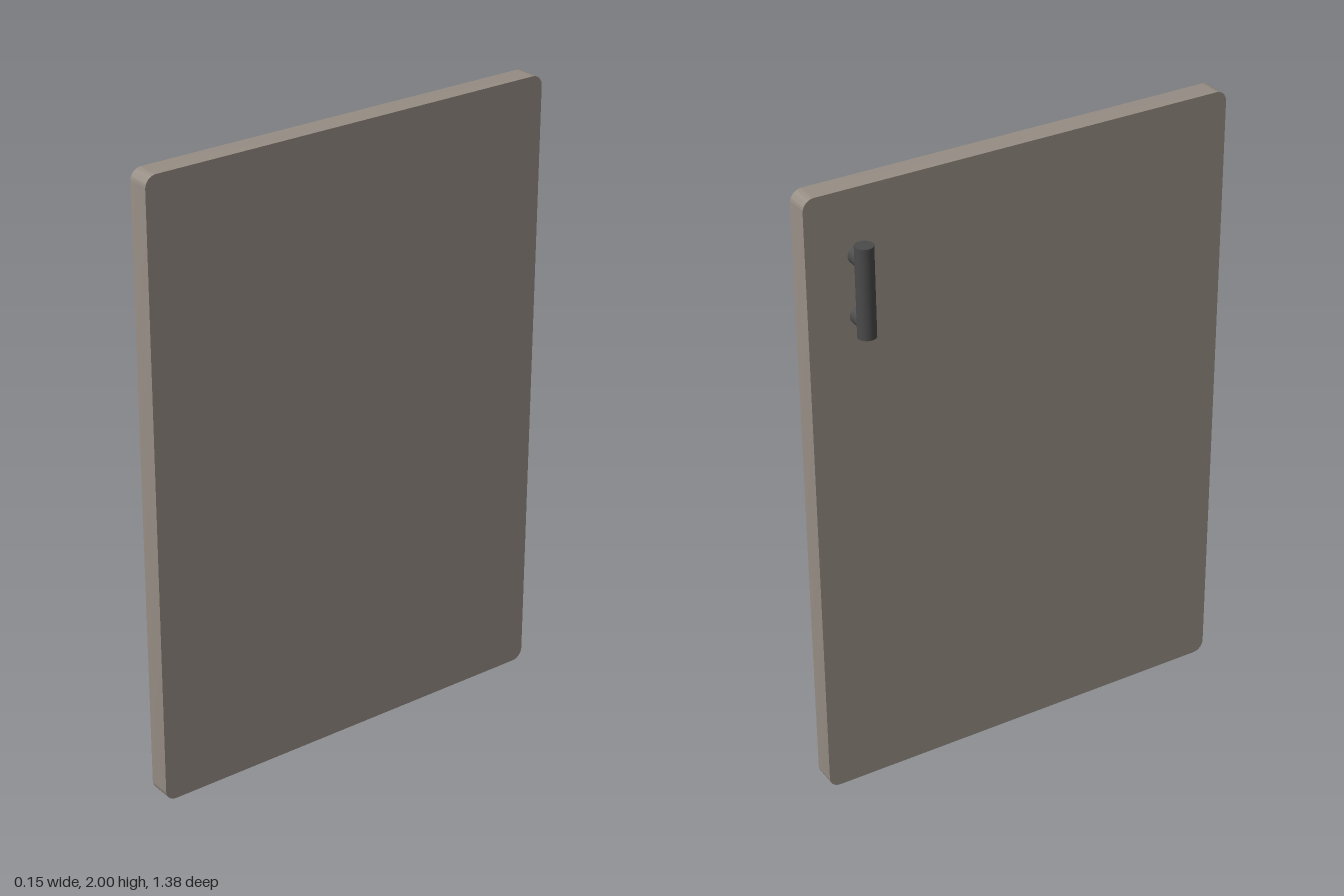
import * as THREE from 'three';
import { toCreasedNormals } from 'three/addons/utils/BufferGeometryUtils.js';

const THICK = 0.0735, HALF_W = 0.692, HEIGHT = 2, CORNER = 0.036;
const ROD = 0.028, BAR_X = -THICK + ROD, HANDLE_Y = 1.703, HANDLE_Z = -0.534;

export function createModel() {
  const group = new THREE.Group();
  const panelMat = new THREE.MeshStandardMaterial({ color: 0x968d84 });
  const metalMat = new THREE.MeshStandardMaterial({ color: 0x4a4a4a });

  // Door panel: rounded rectangle extruded along its thickness
  const w = HALF_W, h = HEIGHT, r = CORNER;
  const outline = new THREE.Shape();
  outline.absarc(w - r, r, r, -Math.PI / 2, 0);
  outline.absarc(w - r, h - r, r, 0, Math.PI / 2);
  outline.absarc(-w + r, h - r, r, Math.PI / 2, Math.PI);
  outline.absarc(-w + r, r, r, Math.PI, Math.PI * 1.5);
  outline.closePath();
  const slab = new THREE.ExtrudeGeometry(outline, { depth: THICK, bevelEnabled: false, curveSegments: 8 });
  const panel = new THREE.Mesh(toCreasedNormals(slab, 0.5), panelMat);
  panel.name = 'doorPanel';
  panel.rotation.y = Math.PI / 2;
  group.add(panel);

  // Bar handle on two round posts
  const handle = new THREE.Group();
  handle.name = 'handle';
  handle.position.set(0, HANDLE_Y, HANDLE_Z);
  const bar = new THREE.Mesh(new THREE.CylinderGeometry(ROD, ROD, 0.283, 32), metalMat);
  bar.name = 'handleBar';
  bar.position.x = BAR_X;
  handle.add(bar);
  for (const side of [-1, 1]) {
    const post = new THREE.Mesh(new THREE.CylinderGeometry(ROD, ROD, -BAR_X, 32), metalMat);
    post.name = side > 0 ? 'upperPost' : 'lowerPost';
    post.rotation.z = Math.PI / 2;
    post.position.set(BAR_X / 2, side * 0.094, 0);
    handle.add(post);
  }
  group.add(handle);

  return group;
}
